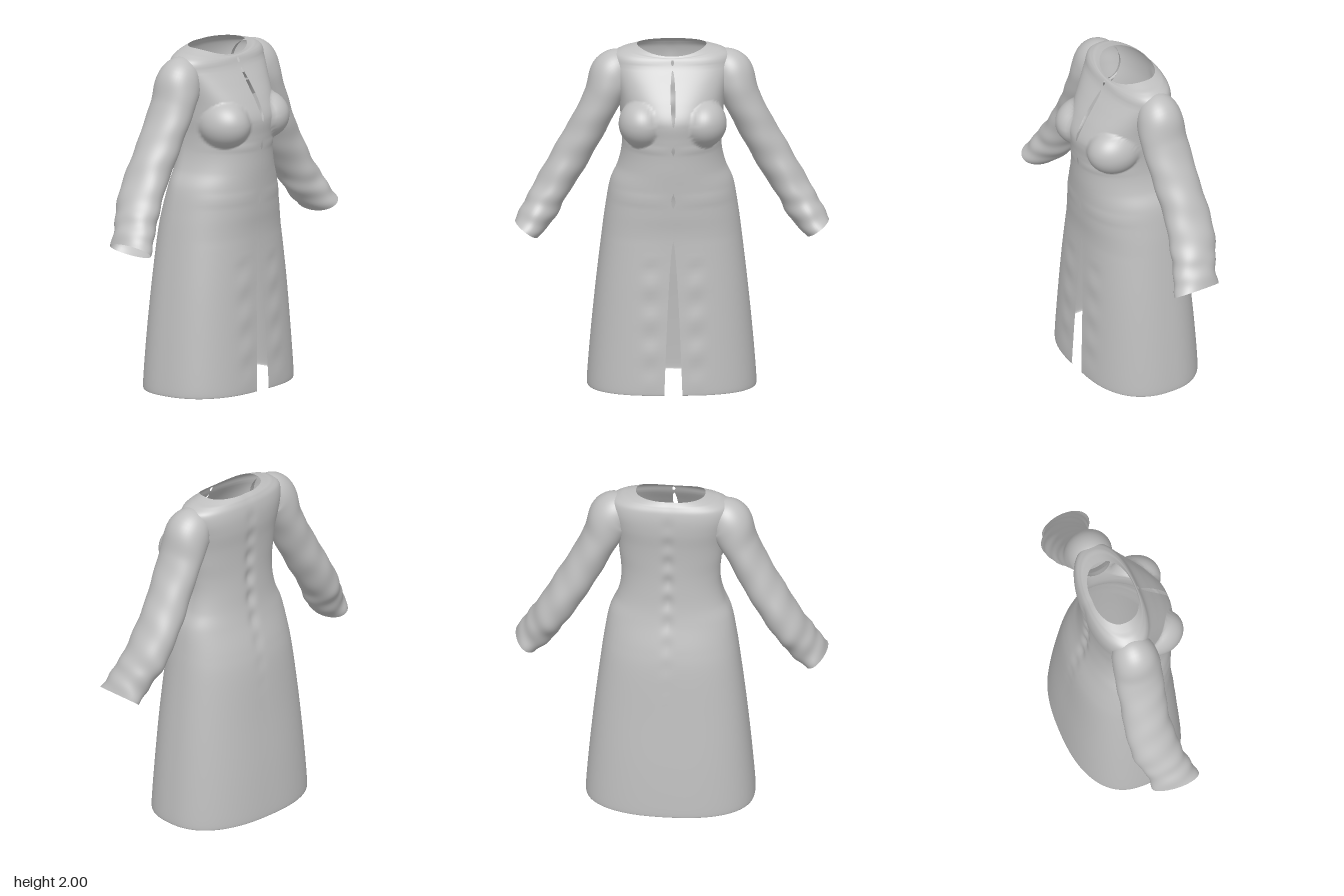
import * as THREE from 'three';

const cloth = new THREE.MeshStandardMaterial({ color: 0xbfbfbf, side: THREE.DoubleSide });
cloth.name = 'grey cloth';

// Smooth curve through rows of numbers, sampled by row index
function sampler(rows) {
  const n = rows[0].length;
  const curve = new THREE.CubicInterpolant(rows.map((_, i) => i), rows.flat(), n, new Float32Array(n));
  return u => Array.from(curve.evaluate(u));
}

// Skin a grid of points; wrap joins the last column to the first
function loft(name, rings, cols, wrap, point) {
  const pos = [], idx = [], stride = wrap ? cols : cols + 1;
  for (let j = 0; j <= rings; j++)
    for (let i = 0; i < stride; i++) pos.push(...point(j / rings, i / cols));
  for (let j = 0; j < rings; j++)
    for (let i = 0; i < cols; i++) {
      const k = wrap ? (i + 1) % cols : i + 1;
      const a = j * stride + i, b = j * stride + k, c = b + stride, d = a + stride;
      idx.push(a, b, c, a, c, d);
    }
  const geo = new THREE.BufferGeometry();
  geo.setAttribute('position', new THREE.Float32BufferAttribute(pos, 3));
  geo.setIndex(idx);
  geo.computeVertexNormals();
  const mesh = new THREE.Mesh(geo, cloth);
  mesh.name = name;
  return mesh;
}

const gauss = (v, s) => Math.exp(-(v * v) / (s * s));

// Half width of the front opening: skirt slit, then the gaps between fastenings
function opening(y) {
  if (y < 0.9) return 0.052 * Math.pow((0.9 - y) / 0.9, 0.6);
  for (const [c, h, w] of [[1.14, 0.035, 0.012], [1.44, 0.022, 0.01], [1.73, 0.15, 0.014], [1.92, 0.015, 0.009]]) {
    const k = (y - c) / h;
    if (Math.abs(k) < 1) return w * Math.sqrt(1 - k * k);
  }
  return 0;
}

// Bust: push a point outwards along its ray onto an ellipsoid
function bust(x, y, z) {
  const cx = 0.172, cz = 0.18, rx = 0.138, rz = 0.163, k = (y - 1.575) / 0.14;
  const h = 1 - k * k;
  if (h <= 0 || z <= 0) return 1;
  const ax = Math.abs(x) / rx, az = z / rz, bx = cx / rx, bz = cz / rz;
  const A = ax * ax + az * az, B = ax * bx + az * bz, C = bx * bx + bz * bz - h;
  const disc = B * B - A * C;
  return disc > 0 ? Math.max(1, (B + Math.sqrt(disc)) / A) : 1;
}

// Body rows: height, half width, front z, back z, squareness, front dip
const bodyRows = [
  [0, 0.477, 0.318, -0.337, 2.4, 0],
  [0.03, 0.486, 0.325, -0.345, 2.4, 0],
  [0.3, 0.465, 0.315, -0.33, 2.4, 0],
  [0.6, 0.435, 0.302, -0.305, 2.4, 0],
  [0.9, 0.4, 0.292, -0.28, 2.3, 0],
  [1.05, 0.38, 0.3, -0.255, 2.2, 0],
  [1.2, 0.353, 0.307, -0.215, 2.1, 0],
  [1.3, 0.31, 0.312, -0.195, 2.1, 0],
  [1.4, 0.287, 0.315, -0.185, 2.1, 0],
  [1.5, 0.285, 0.322, -0.18, 2.1, 0],
  [1.6, 0.295, 0.325, -0.18, 2.2, 0],
  [1.7, 0.305, 0.28, -0.185, 2.3, 0],
  [1.8, 0.325, 0.215, -0.195, 2.4, 0],
  [1.88, 0.343, 0.16, -0.195, 2.4, 0],
  [1.94, 0.34, 0.137, -0.185, 2.3, 0.01],
  [1.972, 0.295, 0.129, -0.17, 2.2, 0.03],
  [1.985, 0.25, 0.125, -0.16, 2.2, 0.04],
  [1.998, 0.2, 0.12, -0.146, 2.2, 0.045],
];

function makeBody() {
  const at = sampler(bodyRows), zc = -0.02;
  return loft('coatBody', 170, 128, false, (v, u) => {
    const [y0, w, f, b, e, dip] = at(v * (bodyRows.length - 1));
    const t = u * Math.PI * 2, s = Math.sin(t), c = Math.cos(t);
    const side = u < 0.5 ? 1 : -1;
    let x = side * w * Math.pow(Math.abs(s), 2 / e);
    let z = zc + (c > 0 ? f - zc : b - zc) * Math.pow(Math.abs(c), 2 / e);
    const y = Math.max(0, y0 - dip * Math.max(0, c) ** 2);
    const k = bust(x, y, z);
    x *= k;
    z *= k;
    if (c > 0) {
      // front edges part, with soft ripples beside the slit
      const g = opening(y);
      x = side * (g + Math.abs(x) * (1 - g / w));
      if (y < 0.8) z += 0.004 * Math.sin(y * 32) * gauss(Math.abs(x) - 0.13, 0.05) * Math.min(1, y * 5);
    } else {
      // puckered centre back seam
      z += (0.012 + 0.006 * Math.sin(y * 48)) * gauss(x, 0.03) * gauss(y - 1.45, 0.42);
    }
    return [x, y, z];
  });
}

// Sleeve rows: x, y, radius in the arm plane, z centre, depth radius
const sleeveRows = [
  [0.24, 1.87, 0.095, -0.025, 0.09],
  [0.33, 1.825, 0.135, -0.02, 0.13],
  [0.4, 1.68, 0.108, -0.02, 0.14],
  [0.49, 1.5, 0.105, -0.03, 0.136],
  [0.59, 1.32, 0.106, -0.04, 0.136],
  [0.69, 1.15, 0.1, -0.03, 0.142],
  [0.76, 1.03, 0.1, 0.005, 0.132],
  [0.835, 0.925, 0.082, 0.035, 0.14],
];

function makeSleeve(name, side) {
  const at = sampler(sleeveRows), last = sleeveRows.length - 1;
  return loft(name, 70, 48, true, (v, u) => {
    const p = v * last;
    const [x, y, r, zc, d] = at(p);
    const a = at(Math.max(0, p - 0.2)), b = at(Math.min(last, p + 0.2));
    const len = Math.hypot(b[0] - a[0], b[1] - a[1]);
    const nx = -(b[1] - a[1]) / len, ny = (b[0] - a[0]) / len;
    const t = side * u * Math.PI * 2;
    // gentle cloth folds, stronger towards the cuff
    const fold = 1 + 0.028 * v * Math.sin(p * 7 + 2 * t) + 0.02 * v * Math.sin(p * 4 - 3 * t);
    const out = r * fold * Math.cos(t);
    return [side * (x + nx * out), y + ny * out, zc + d * fold * Math.sin(t)];
  });
}

export function createModel() {
  const coat = new THREE.Group();
  coat.name = 'coat';
  coat.add(makeBody(), makeSleeve('leftSleeve', 1), makeSleeve('rightSleeve', -1));
  return coat;
}
